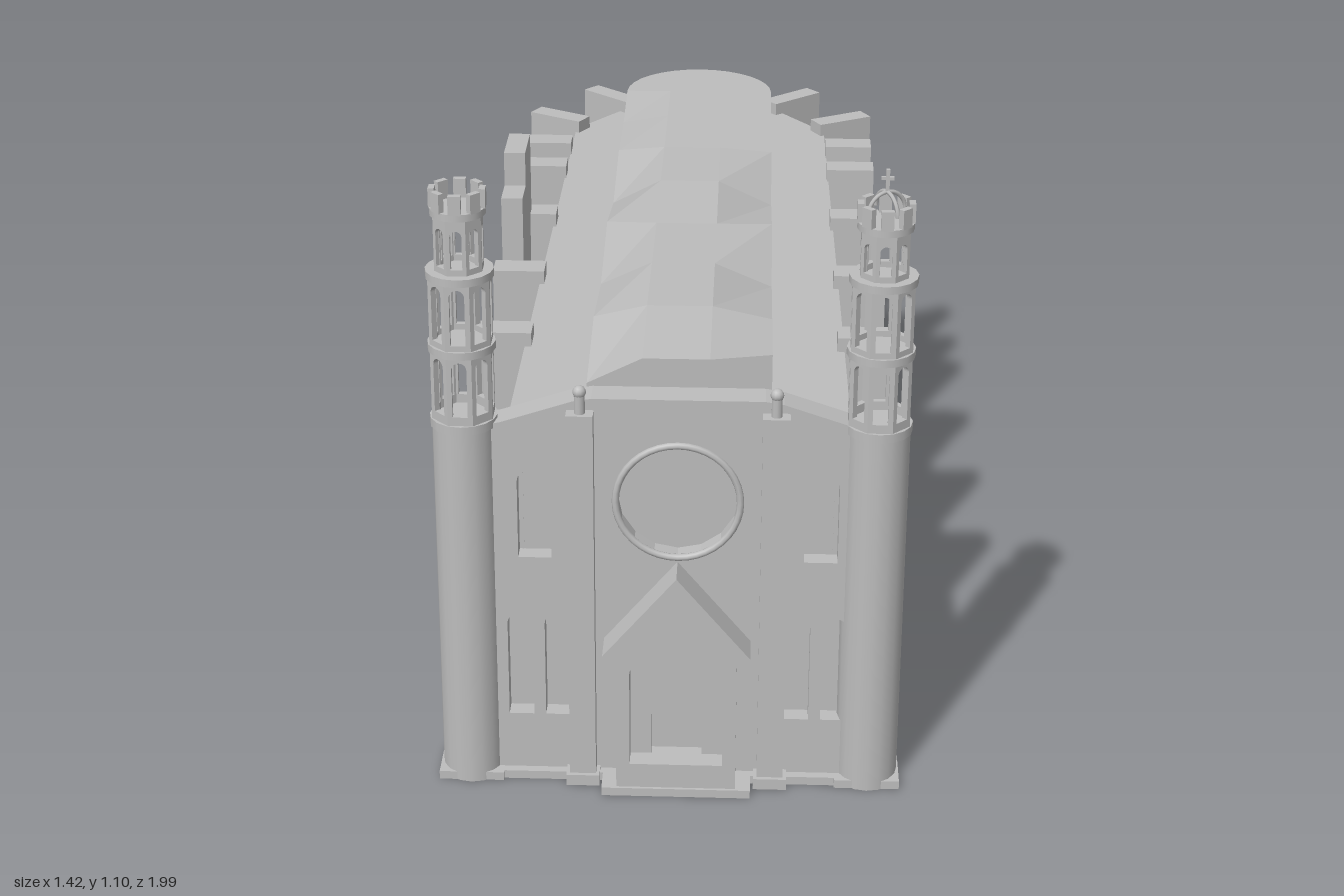
import * as THREE from 'three';

const stone = new THREE.MeshStandardMaterial({ color: 0xbdbdbd });
stone.name = 'stone';
const CX = 0.07; // centre line of the nave

function add(parent, geo, name, x = 0, y = 0, z = 0) {
  const m = new THREE.Mesh(geo, stone);
  m.name = name;
  m.position.set(x, y, z);
  parent.add(m);
  return m;
}
const box = (p, name, x0, x1, y0, y1, z0, z1) =>
  add(p, new THREE.BoxGeometry(x1 - x0, y1 - y0, z1 - z0), name, (x0 + x1) / 2, (y0 + y1) / 2, (z0 + z1) / 2);

const polygon = pts => new THREE.Shape(pts.map(p => new THREE.Vector2(p[0], p[1])));
const extrude = (shape, depth) => new THREE.ExtrudeGeometry(shape, { depth, bevelEnabled: false, curveSegments: 8 });

// Solid block from a floor plan given as [x, z] points
function slab(parent, name, pts, y0, y1) {
  const geo = extrude(polygon(pts.map(p => [p[0], -p[1]])), y1 - y0);
  geo.rotateX(-Math.PI / 2);
  return add(parent, geo, name, 0, y0, 0);
}

// Arched opening; pointed or round headed
function arch(x, y0, y1, w, pointed = false) {
  const p = new THREE.Path(), r = w / 2;
  p.moveTo(x - r, y0);
  p.lineTo(x + r, y0);
  if (pointed) {
    const s = y1 - w * 0.75;
    p.lineTo(x + r, s);
    p.quadraticCurveTo(x + r * 0.9, s + w * 0.45, x, y1);
    p.quadraticCurveTo(x - r * 0.9, s + w * 0.45, x - r, s);
  } else {
    p.lineTo(x + r, y1 - r);
    p.absarc(x, y1 - r, r, 0, Math.PI, false);
  }
  p.closePath();
  return p;
}

// Wall from plan point a to b, with openings cut through; outer face on the line
function wall(parent, name, a, b, y0, y1, holes, depth = 0.025) {
  const dx = b[0] - a[0], dz = b[1] - a[1], L = Math.hypot(dx, dz);
  const shape = polygon([[0, y0], [L, y0], [L, y1], [0, y1]]);
  shape.holes.push(...holes);
  const geo = extrude(shape, depth);
  geo.translate(0, 0, -depth);
  const m = add(parent, geo, name, a[0], 0, a[1]);
  m.rotation.y = Math.atan2(-dz, dx);
}

// Ring of eight arched panels, open inside
function arcade(parent, name, r, y0, y1, h0, h1) {
  const w = 2 * r * Math.tan(Math.PI / 8);
  const shape = polygon([[-w / 2, y0], [w / 2, y0], [w / 2, y1], [-w / 2, y1]]);
  shape.holes.push(arch(0, h0, h1, w * 0.6));
  const geo = extrude(shape, 0.01);
  geo.translate(0, 0, r - 0.01);
  for (let i = 0; i < 8; i++) add(parent, geo, name).rotation.y = i * Math.PI / 4;
}

function tower(parent, x, z, crowned) {
  const t = new THREE.Group();
  t.name = crowned ? 'crownedTower' : 'plainTower';
  t.position.set(x, 0, z);
  parent.add(t);
  const drum = (name, r, y0, y1) => add(t, new THREE.CylinderGeometry(r, r, y1 - y0, 16), name, 0, (y0 + y1) / 2, 0);
  const drop = crowned ? 0.015 : 0;
  drum('towerShaft', 0.052, 0, 0.66);
  box(t, 'towerPlinth', -0.055, 0.055, 0, 0.015, -0.05, 0.045);
  drum('towerFloor', 0.055, 0.655, 0.67);
  arcade(t, 'lowerArcade', 0.049, 0.67, 0.79, 0.685, 0.78);
  drum('towerRing', 0.055, 0.787, 0.8);
  arcade(t, 'middleArcade', 0.049, 0.8, 0.915, 0.81, 0.905);
  drum('towerRing', 0.055, 0.912, 0.925);
  arcade(t, 'upperArcade', 0.038, 0.925, 1.02 - drop, 0.935, 1.0 - drop);
  drum('towerCornice', 0.045, 1.018 - drop, 1.03 - drop);
  for (let i = 0; i < 8; i++) {
    const a = i * Math.PI / 4;
    const m = add(t, new THREE.BoxGeometry(0.02, 0.032, 0.01), 'battlement', Math.sin(a) * 0.04, 1.045 - drop, Math.cos(a) * 0.04);
    m.rotation.y = a;
  }
  if (crowned) {
    for (const a of [0.5, 0.5 + Math.PI / 2])
      add(t, new THREE.TorusGeometry(0.033, 0.0035, 6, 16, Math.PI), 'crownArch', 0, 1.03, 0).rotation.y = a;
    box(t, 'crossPost', -0.003, 0.003, 1.06, 1.1, -0.003, 0.003);
    box(t, 'crossArm', -0.01, 0.01, 1.083, 1.088, -0.003, 0.003);
  }
}

// Uneven vault covering of the nave, from cross-sections
function naveRoof(parent) {
  const zs = [0.81, 0.62, 0.42, 0.22, 0.02, -0.18, -0.36, -0.52];
  const edge = [0.715, 0.75, 0.725, 0.765, 0.725, 0.76, 0.755, 0.77];
  const crown = [0.76, 0.772, 0.768, 0.764, 0.772, 0.768, 0.771, 0.77];
  const rings = zs.map((z, i) => [[-0.15, 0.64], [-0.15, edge[i]], [-0.06, crown[i]], [0.05, crown[i]], [0.15, edge[(i + 7) % 8 < 5 ? i : 7]], [0.15, 0.64]]
    .map(p => [CX + p[0], p[1], z]));
  const pos = [];
  for (let i = 0; i < rings.length - 1; i++)
    for (let j = 0; j < 5; j++) {
      const a = rings[i][j], b = rings[i][j + 1], c = rings[i + 1][j + 1], d = rings[i + 1][j];
      pos.push(...a, ...b, ...c, ...a, ...c, ...d);
    }
  for (let j = 1; j < 5; j++) pos.push(...rings[0][0], ...rings[0][j + 1], ...rings[0][j]);
  const geo = new THREE.BufferGeometry();
  geo.setAttribute('position', new THREE.Float32BufferAttribute(pos, 3));
  geo.computeVertexNormals();
  add(parent, geo, 'naveRoof');
  const end = [];
  for (let i = 0; i <= 16; i++) end.push([CX + 0.15 * Math.cos(i * Math.PI / 16), -0.52 - 0.15 * Math.sin(i * Math.PI / 16)]);
  slab(parent, 'apseRoof', end, 0.64, 0.77);
}

function facade(parent) {
  const f = new THREE.Group();
  f.name = 'facade';
  f.position.x = CX;
  parent.add(f);
  const outline = [[-0.36, 0], [0.36, 0], [0.36, 0.655], [0.29, 0.665], [0.17, 0.705], [0.14, 0.71], [-0.14, 0.71], [-0.17, 0.705], [-0.29, 0.665], [-0.36, 0.655]];
  add(f, extrude(polygon(outline), 0.02), 'facadeBacking', 0, 0, 0.81);
  const front = polygon(outline);
  for (const s of [-1, 1]) {
    front.holes.push(arch(s * 0.235, 0.42, 0.585, 0.055));
    for (const x of [0.2, 0.262]) front.holes.push(arch(s * x, 0.12, 0.315, 0.042));
  }
  const rose = new THREE.Path();
  rose.absarc(0, 0.527, 0.1, 0, Math.PI * 2, false);
  front.holes.push(rose);
  add(f, extrude(front, 0.03), 'facadeWall', 0, 0, 0.83);
  add(f, new THREE.TorusGeometry(0.102, 0.006, 8, 40), 'roseWindowRim', 0, 0.527, 0.86);

  // Piers with pinnacles beside the portal
  for (const s of [-1, 1]) {
    const x = s * 0.158;
    box(f, 'pier', x - 0.022, x + 0.022, 0, 0.69, 0.85, 0.885);
    box(f, 'pierBase', x - 0.028, x + 0.028, 0, 0.02, 0.85, 0.892);
    add(f, new THREE.CylinderGeometry(0.009, 0.009, 0.04, 10), 'pinnacle', x, 0.71, 0.87);
    add(f, new THREE.SphereGeometry(0.011, 10, 8), 'pinnacleTip', x, 0.727, 0.87);
  }

  // Gabled portal with stepped arches
  const porch = polygon([[-0.1, 0], [0.1, 0], [0.1, 0.28], [0, 0.4], [-0.1, 0.28]]);
  porch.holes.push(arch(0, 0.06, 0.35, 0.155, true));
  add(f, extrude(porch, 0.035), 'portal', 0, 0, 0.88);
  const inner = polygon([[-0.09, 0], [0.09, 0], [0.09, 0.28], [0, 0.38], [-0.09, 0.28]]);
  inner.holes.push(arch(0, 0.06, 0.2, 0.085, true));
  add(f, extrude(inner, 0.02), 'doorSurround', 0, 0, 0.86);
  const gable = polygon([[-0.122, 0.27], [-0.1, 0.27], [0, 0.39], [0.1, 0.27], [0.122, 0.27], [0, 0.417]]);
  add(f, extrude(gable, 0.06), 'portalGable', 0, 0, 0.86);
  box(f, 'portalStep', -0.125, 0.125, 0, 0.015, 0.85, 0.92);
  box(f, 'facadePlinth', -0.36, 0.36, 0, 0.015, 0.84, 0.875);
}

export function createModel() {
  const root = new THREE.Group();
  root.name = 'church';
  const g = new THREE.Group();
  g.name = 'building';
  g.rotation.y = -0.505;
  root.add(g);

  // Plans as offsets from the centre line, right side then mirrored
  const mirror = half => [...half, ...half.slice().reverse().map(p => [-p[0], p[1]])].map(p => [CX + p[0], p[1]]);
  const lower = mirror([[0.36, 0.83], [0.355, -0.67], [0.246, -0.826], [0.088, -0.895]]);
  const lowerCore = mirror([[0.335, 0.82], [0.331, -0.66], [0.23, -0.806], [0.083, -0.87]]);
  const upper = mirror([[0.28, 0.83], [0.265, -0.62], [0.165, -0.755], [0.062, -0.82]]);
  const upperCore = mirror([[0.26, 0.82], [0.245, -0.61], [0.152, -0.737], [0.057, -0.8]]);
  slab(g, 'aisleCore', lowerCore, 0, 0.4);
  slab(g, 'clerestoryCore', upperCore, 0.38, 0.65);

  // Walls with arched windows
  const lowZ = [0.75, 0.625, 0.448, 0.294, 0.134, 0.002, -0.146, -0.283, -0.438, -0.58];
  const highZ = [0.687, 0.384, 0.093, -0.2, -0.405];
  for (let i = 0; i < 7; i++) {
    const along = (pts, z) => Math.abs(z - pts[i][1]);
    const L = Math.hypot(lower[i + 1][0] - lower[i][0], lower[i + 1][1] - lower[i][1]);
    const side = i === 0 || i === 6;
    const lowHoles = side ? lowZ.map(z => arch(along(lower, z), 0.12, 0.34, 0.044)) : [arch(L / 2, 0.12, 0.34, 0.044)];
    const highHoles = side ? highZ.map(z => arch(along(upper, z), 0.44, 0.612, 0.066)) : [];
    wall(g, 'aisleWall', lower[i], lower[i + 1], 0, 0.4, lowHoles);
    wall(g, 'clerestoryWall', upper[i], upper[i + 1], 0.38, 0.65, highHoles);
  }
  box(g, 'sidePlinth', CX + 0.35, CX + 0.368, 0, 0.015, -0.66, 0.86);

  // Buttresses along both sides and around the apse
  for (const z of [0.5, 0.22, -0.07, -0.34, -0.48])
    for (const s of [-1, 1]) {
      const x = CX + s * 0.312;
      box(g, 'sideButtress', x - 0.047, x + 0.047, 0.39, 0.675, z - 0.026, z + 0.026);
    }
  for (let i = 1; i < 7; i++) {
    const [ix, iz] = upper[i], [ox, oz] = lower[i];
    const m = add(g, new THREE.BoxGeometry(Math.hypot(ox - ix, oz - iz) + 0.02, 0.285, 0.042), 'apseButtress',
      (ix + ox) / 2 - (ox - ix) * 0.1, 0.5325, (iz + oz) / 2 - (oz - iz) * 0.1);
    m.rotation.y = Math.atan2(-(oz - iz), ox - ix);
  }

  // Stepped wall block over one aisle
  box(g, 'tallBlock', -0.285, -0.245, 0.39, 0.83, -0.07, 0.04);
  box(g, 'lowBlock', -0.285, -0.245, 0.39, 0.765, 0.04, 0.11);

  naveRoof(g);
  facade(g);
  tower(g, -0.278, 0.837, false);
  tower(g, 0.392, 0.837, true);

  // Annex behind the apse with a broken parapet
  slab(g, 'annex', [[-0.27, -0.62], [-0.27, -0.946], [-0.255, -0.997], [0.082, -1.085], [0.12, -0.87], [0, -0.8]], 0, 0.455);
  wall(g, 'annexWall', [-0.29, -0.946], [-0.29, -0.62], 0, 0.455, [arch(0.19, 0.12, 0.34, 0.044)], 0.022);
  wall(g, 'annexCorner', [-0.257, -1.0], [-0.29, -0.946], 0, 0.47, []);
  wall(g, 'annexEnd', [0.082, -1.088], [-0.257, -1.0], 0, 0.475, []);
  for (const [x, z, h] of [[-0.255, -0.975, 0.53], [-0.165, -1.005, 0.5], [-0.225, -0.985, 0.5]])
    box(g, 'parapetStub', x - 0.018, x + 0.018, 0.45, h, z - 0.012, z + 0.012);
  return root;
}
